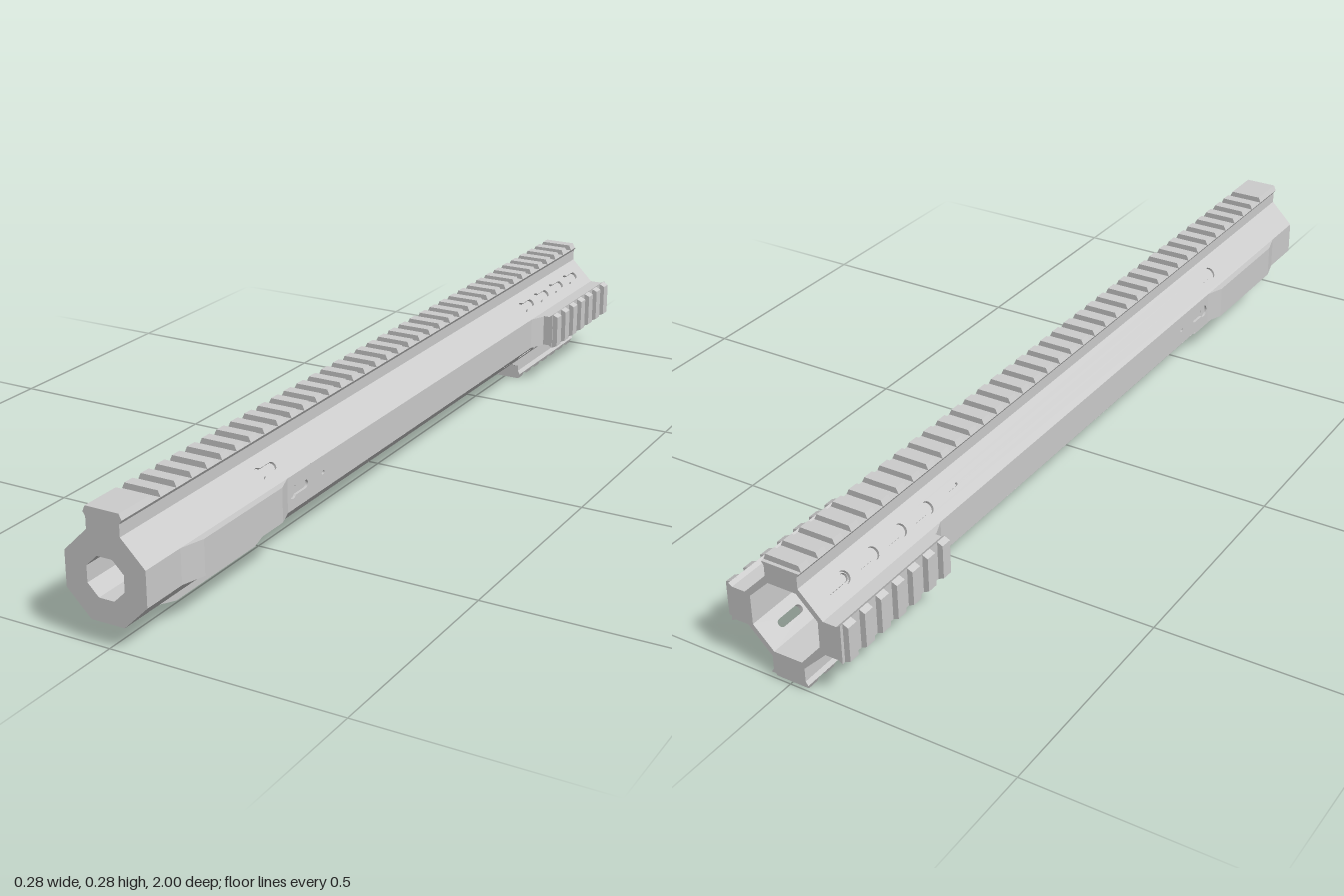
import * as THREE from 'three';
import { mergeGeometries } from 'three/addons/utils/BufferGeometryUtils.js';

const APOTHEM = 0.09, HALF = 0.0373, SKIN = 0.006, CENTRE_Y = 0.141;
const X = new THREE.Vector3(1, 0, 0), Y = new THREE.Vector3(0, 1, 0), Z = new THREE.Vector3(0, 0, 1);
const material = new THREE.MeshStandardMaterial({ color: 0xcccccc, flatShading: true });

function add(parent, name, geometry) {
  const mesh = new THREE.Mesh(geometry, material);
  mesh.name = name;
  parent.add(mesh);
}

const polygon = (pts) => new THREE.Shape(pts.map(([a, b]) => new THREE.Vector2(a, b)));

const extrude = (shape, depth) =>
  new THREE.ExtrudeGeometry(shape, { depth, bevelEnabled: false, curveSegments: 8 });

// Keyhole opening: round end towards the front, narrow tail towards the rear
function keyhole(z) {
  const R = 0.014, r = 0.009, a = Math.PI - Math.asin(r / R);
  const p = new THREE.Path();
  p.absarc(z, 0, R, -a, a, false);
  p.absarc(z - 0.047, 0, r, Math.PI / 2, Math.PI * 1.5, false);
  p.closePath();
  return p;
}

// Straight opening with round ends
function slot(z1, z2, r) {
  const p = new THREE.Path();
  p.absarc(z1 - r, 0, r, -Math.PI / 2, Math.PI / 2, false);
  p.absarc(z2 + r, 0, r, Math.PI / 2, Math.PI * 1.5, false);
  p.closePath();
  return p;
}

// Long wall panel facing local +x, extruded inward
function panel(half, outer, holes) {
  const s = polygon([[-1, -half], [1, -half], [1, half], [-1, half]]);
  s.holes.push(...holes);
  return extrude(s, SKIN)
    .applyMatrix4(new THREE.Matrix4().makeBasis(Z, Y, X.clone().negate()))
    .translate(outer, 0, 0);
}

// Raised pad on a flat, drawn as a (z, height) profile
function pad(pts) {
  return extrude(polygon(pts), HALF * 2)
    .translate(0, 0, -HALF)
    .applyMatrix4(new THREE.Matrix4().makeBasis(Z, X, Y));
}

// Toothed accessory rail facing local +x; teeth are [rear, front] spans
function rail(top, rear, front, teeth) {
  const mid = top - 0.0125;
  const base = [[0.085, HALF], [top - 0.021, HALF], [mid, 0.043]];
  const tooth = [[mid - 0.001, 0.0425], [mid, 0.043], [top, HALF]];
  const mirror = (pts) => polygon([...pts, ...pts.map(([a, b]) => [a, -b]).reverse()]);
  const parts = [extrude(mirror(base), front - rear).translate(0, 0, rear)];
  for (const [a, b] of teeth) parts.push(extrude(mirror(tooth), b - a).translate(0, 0, a));
  return mergeGeometries(parts);
}

function octagon(apothem, Kind) {
  const r = apothem / Math.cos(Math.PI / 8);
  return new Kind(Array.from({ length: 8 }, (_, i) => {
    const a = (i + 0.5) * Math.PI / 4;
    return new THREE.Vector2(r * Math.cos(a), r * Math.sin(a));
  }));
}

function toothSpans(first, count) {
  return Array.from({ length: count }, (_, i) => {
    const z = first - i * 0.05;
    return [z - 0.0125, z + 0.0125];
  });
}

export function createModel() {
  const model = new THREE.Group();
  model.name = 'handguard';
  const body = new THREE.Group();
  body.name = 'body';
  body.position.y = CENTRE_Y;
  model.add(body);

  // Eight sides, counted from +x: 0 left, 2 top, 4 right, 6 bottom, odd ones slanted
  for (let k = 0; k < 8; k++) {
    const side = new THREE.Group();
    side.name = `side${k}`;
    side.rotation.z = k * Math.PI / 4;
    body.add(side);

    const holes = [], through = [];
    if (k % 2) {
      for (let i = 0; i < 4; i++) holes.push(keyhole(-0.629 - i * 0.09));
      holes.push(keyhole(0.586));
      if (k !== 1) {
        holes.push(slot(-0.525, -0.565, 0.003));
        through.push(slot(-0.886, -0.955, 0.0088));
      }
    } else if (k !== 2) {
      holes.push(keyhole(0.506));
      if (k !== 6) holes.push(slot(0.396, 0.385, 0.004));
    }
    add(side, 'outerWall', panel(HALF, APOTHEM, holes));
    add(side, 'innerWall', panel(0.0348, APOTHEM - SKIN, through));

    // Full-length rail on top; front swell and short rear rail on the other flats
    if (k === 2) {
      add(side, 'topRail', rail(0.136, -1, 1, [[0.908, 1], ...toothSpans(0.87, 38)]));
    } else if (k % 2 === 0) {
      add(side, 'frontSwell', pad([[0.9, 0.088], [0.84, 0.105], [0.57, 0.105], [0.522, 0.088]]));
      add(side, 'railRamp', pad([[-0.62, 0.088], [-0.66, 0.105], [-1, 0.105], [-1, 0.088]]));
      add(side, 'shortRail', rail(0.141, -1, -0.665, toothSpans(-0.68, 7)));
    }
  }

  // Thick front section with a narrow octagonal bore
  const ring = octagon(0.085, THREE.Shape);
  ring.holes.push(octagon(0.0415, THREE.Path));
  add(body, 'frontCore', extrude(ring, 0.5).translate(0, 0, 0.5));

  return model;
}
